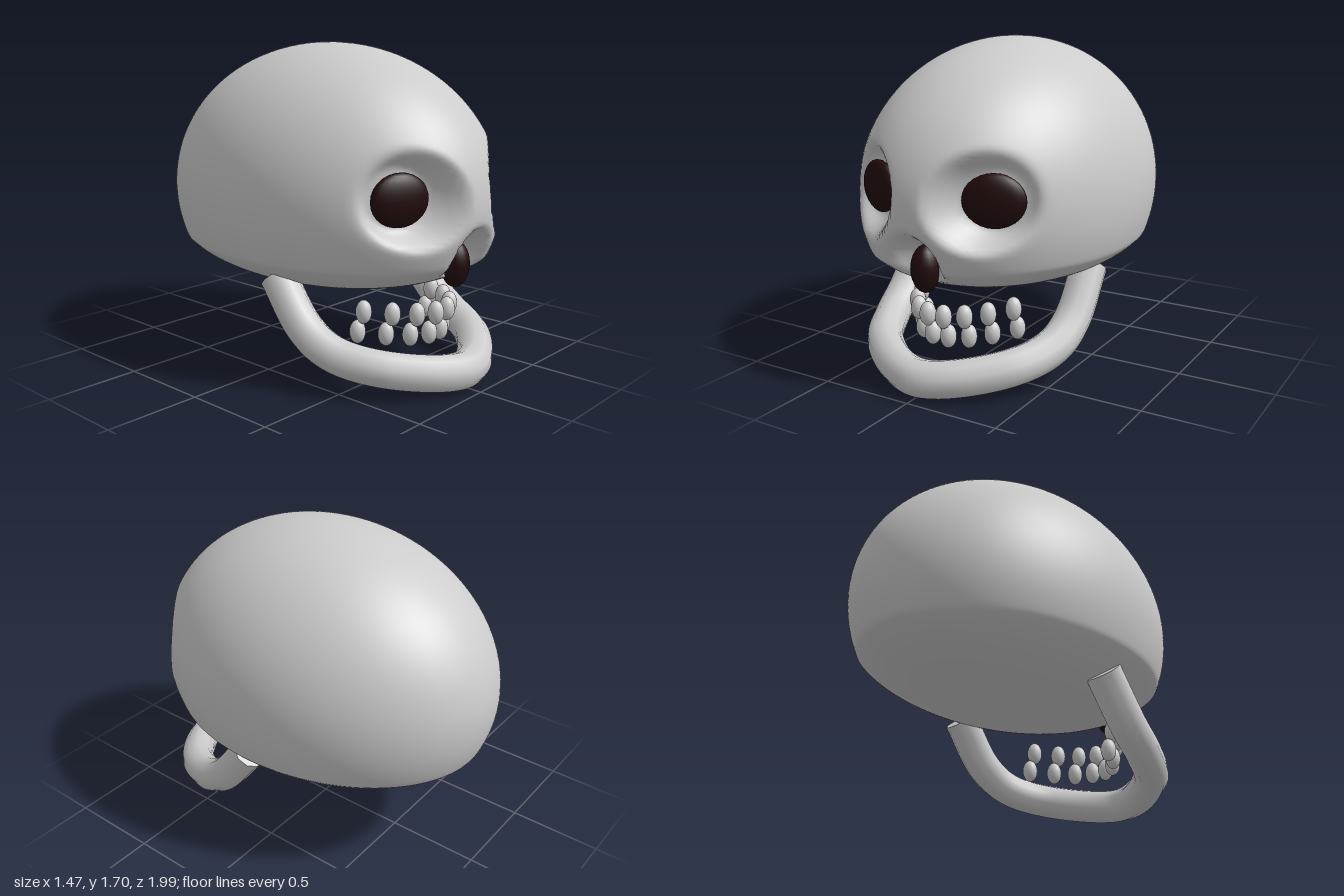
import * as THREE from 'three';
import { mergeVertices } from 'three/addons/utils/BufferGeometryUtils.js';

const bone = new THREE.MeshStandardMaterial({ color: 0xcccccc });
bone.name = 'bone grey';
const dark = new THREE.MeshStandardMaterial({ color: 0x220b0b });
dark.name = 'dark socket';

const { smoothstep, lerp } = THREE.MathUtils;

function add(parent, name, geometry, material, position = [0, 0, 0], scale = [1, 1, 1]) {
  const mesh = new THREE.Mesh(geometry, material);
  mesh.name = name;
  mesh.position.set(...position);
  mesh.scale.set(...scale);
  parent.add(mesh);
  return mesh;
}

// Ellipsoid with a flattened base, and sockets pressed into the face
function craniumGeometry() {
  const sphere = new THREE.SphereGeometry(1, 160, 120);
  sphere.deleteAttribute('uv');
  sphere.deleteAttribute('normal');
  const geometry = mergeVertices(sphere, 1e-5);
  const p = geometry.attributes.position;
  const knee = -0.35;
  for (let i = 0; i < p.count; i++) {
    const v = p.getY(i);
    const x = p.getX(i) * 0.735;
    const y = 0.925 + 0.79 * (v < knee ? knee + (v - knee) * 0.435 : v);
    let z = p.getZ(i) * 0.99 - 0.01;
    if (z > 0) {
      // Eye sockets: slanted floors
      const ax = Math.abs(x);
      const eye = 1 - smoothstep(Math.hypot(ax - 0.335, y - 1), 0.14, 0.26);
      z = lerp(z, Math.min(z, 0.71 - 0.45 * (ax - 0.335)), eye);
      // Nose cavity
      const nose = 1 - smoothstep(Math.hypot(x * 1.3, y - 0.65), 0.09, 0.21);
      z = lerp(z, Math.min(z, 0.81), nose);
    }
    p.setXYZ(i, x, y, z);
  }
  geometry.computeVertexNormals();
  return geometry;
}

export function createModel() {
  const skull = new THREE.Group();
  skull.name = 'skull';

  add(skull, 'cranium', craniumGeometry(), bone);

  // Eyes and nose
  const darkBall = new THREE.SphereGeometry(1, 20, 14);
  for (const side of [1, -1]) {
    const eye = add(skull, side > 0 ? 'leftEye' : 'rightEye', darkBall, dark,
      [side * 0.335, 0.995, 0.735], [0.155, 0.133, 0.05]);
    eye.rotation.y = side * 0.42;
  }
  add(skull, 'nose', darkBall, dark, [0, 0.64, 0.825], [0.073, 0.12, 0.075]);

  // Jaw: a bent tube from one side of the skull round to the other
  const half = [[0.525, 0.55, 0.105], [0.525, 0.31, 0.3], [0.495, 0.21, 0.46], [0.36, 0.15, 0.7]];
  const points = [
    ...half.map(([x, y, z]) => new THREE.Vector3(x, y, z)),
    new THREE.Vector3(0, 0.105, 0.9),
    ...half.map(([x, y, z]) => new THREE.Vector3(-x, y, z)).reverse(),
  ];
  const path = new THREE.CatmullRomCurve3(points);
  const jaw = new THREE.Group();
  jaw.name = 'jaw';
  skull.add(jaw);
  add(jaw, 'jawBone', new THREE.TubeGeometry(path, 64, 0.095, 10), bone);
  for (const t of [0, 1]) {
    const end = path.getPointAt(t);
    const outward = path.getTangentAt(t).multiplyScalar(t ? 1 : -1);
    const cap = add(jaw, 'jawEnd', new THREE.CircleGeometry(0.095, 10), bone, end.toArray());
    cap.quaternion.setFromUnitVectors(new THREE.Vector3(0, 0, 1), outward);
  }

  // Two rows of teeth set along an arc
  const toothGeometry = new THREE.SphereGeometry(1, 16, 12);
  const arc = [[0.047, 0.75], [0.137, 0.7], [0.215, 0.605], [0.285, 0.475]];
  const rows = [['upperTooth', 0.38, 0], ['lowerTooth', 0.267, -0.04]];
  for (const [name, y, back] of rows) {
    for (const [x, z] of arc) {
      for (const side of [1, -1]) {
        add(skull, name, toothGeometry, bone, [side * x, y, z + back], [0.042, 0.062, 0.042]);
      }
    }
  }
  return skull;
}
